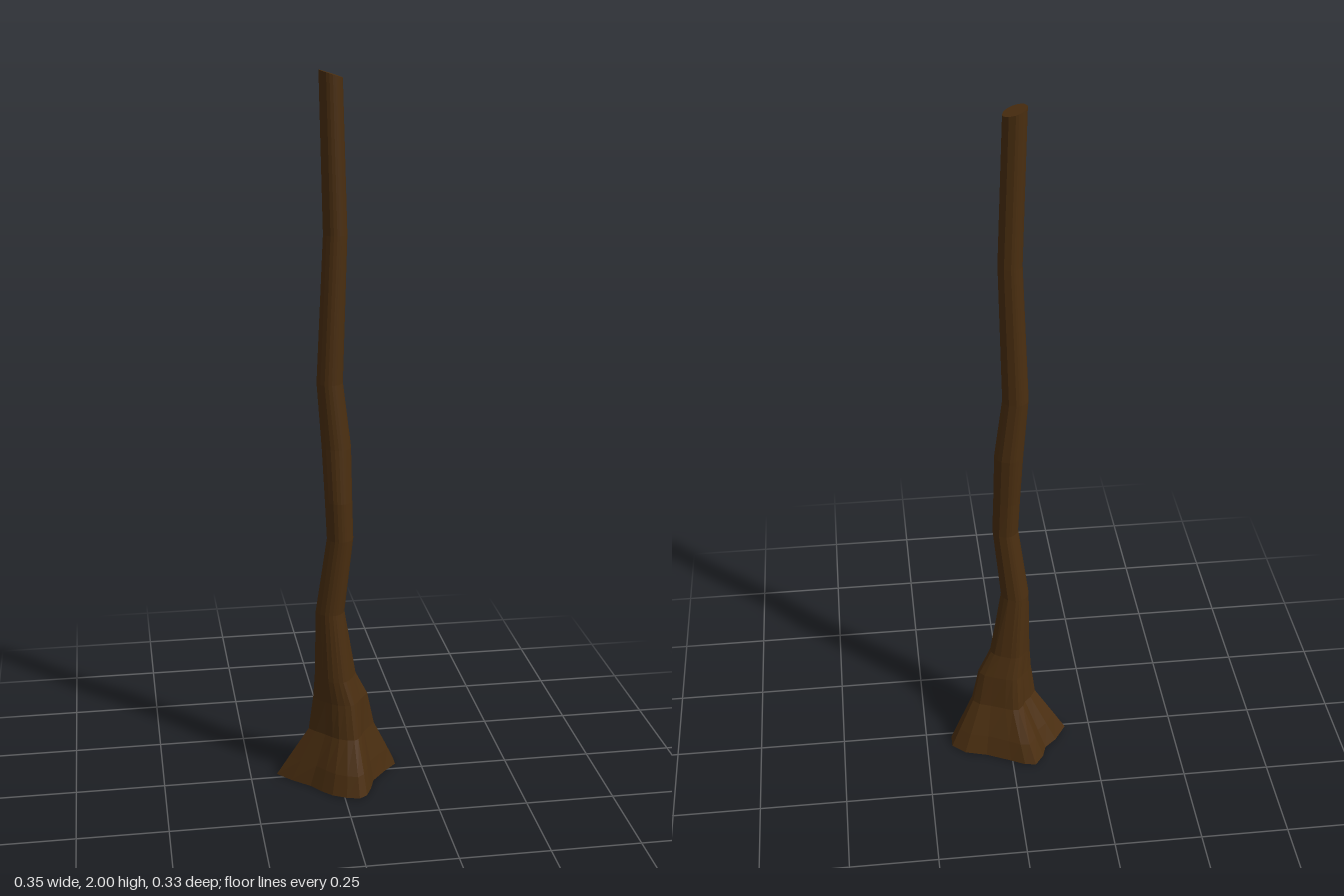
import * as THREE from 'three';

// Outline of the flared root base, as [x, z]
const BASE = [
  [-0.175, -0.012], [-0.14, -0.063], [-0.105, -0.093], [-0.093, -0.13], [-0.067, -0.165],
  [-0.035, -0.16], [0.005, -0.138], [0.075, -0.105], [0.138, -0.09], [0.175, -0.058],
  [0.175, -0.02], [0.138, 0.013], [0.097, 0.06], [0.08, 0.11], [0.063, 0.147],
  [0.04, 0.163], [0.005, 0.152], [-0.033, 0.13], [-0.06, 0.1], [-0.087, 0.065], [-0.137, 0.025],
];

// Trunk sections: height, x from/to, z from/to, share of the root outline
const SECTIONS = [
  [0, -0.175, 0.175, -0.165, 0.163, 1],
  [0.06, -0.14, 0.15, -0.138, 0.142, 0.95],
  [0.15, -0.083, 0.108, -0.083, 0.095, 0.8],
  [0.25, -0.07, 0.087, -0.062, 0.078, 0.6],
  [0.32, -0.066, 0.052, -0.045, 0.07, 0.35],
  [0.52, -0.063, 0.018, -0.026, 0.058, 0.05],
  [0.74, -0.033, 0.04, -0.01, 0.067, 0],
  [0.85, -0.038, 0.037, -0.014, 0.067, 0],
  [1.0, -0.045, 0.035, -0.023, 0.056, 0],
  [1.18, -0.058, 0.013, -0.023, 0.049, 0],
  [1.58, -0.04, 0.024, -0.017, 0.049, 0],
  [1.99, -0.051, 0.011, -0.012, 0.053, 0],
];

function sectionPoint([y, x0, x1, z0, z1, flare], [bx, bz]) {
  const angle = Math.atan2(bz, bx);
  const u = THREE.MathUtils.lerp(Math.cos(angle), bx / 0.175, flare);
  const v = THREE.MathUtils.lerp(Math.sin(angle), bz / 0.164, flare);
  // Root tips lift a little off the ground; the cut top slopes to one side
  let lift = 0;
  if (y === 0) lift = 0.012 * Math.max(0, Math.hypot(u, v) - 0.7);
  if (y > 1.9) lift = -0.01 * u;
  return [(x0 + x1) / 2 + u * (x1 - x0) / 2, y + lift, (z0 + z1) / 2 + v * (z1 - z0) / 2];
}

function trunkGeometry() {
  const n = BASE.length, last = (SECTIONS.length - 1) * n;
  const points = SECTIONS.flatMap((s) => BASE.map((b) => sectionPoint(s, b)));
  const bottom = points.push([0, 0, 0]) - 1;
  const top = points.push([-0.02, 1.99, 0.02]) - 1;
  const index = [];
  for (let j = 0; j < n; j++) {
    const k = (j + 1) % n;
    for (let r = 0; r < last; r += n) {
      const a = r + j, b = r + k;
      index.push(a, a + n, b, b, a + n, b + n);
    }
    index.push(bottom, j, k, top, last + k, last + j); // end caps
  }
  const indexed = new THREE.BufferGeometry();
  indexed.setAttribute('position', new THREE.Float32BufferAttribute(points.flat(), 3));
  indexed.setIndex(index);
  const geometry = indexed.toNonIndexed();
  geometry.computeVertexNormals();
  return geometry;
}

export function createModel() {
  const bark = new THREE.MeshStandardMaterial({ color: 0x4a2e10, flatShading: true });
  bark.name = 'dark brown bark';
  const trunk = new THREE.Mesh(trunkGeometry(), bark);
  trunk.name = 'trunk';
  const group = new THREE.Group();
  group.name = 'bareTreeTrunk';
  group.add(trunk);
  return group;
}
